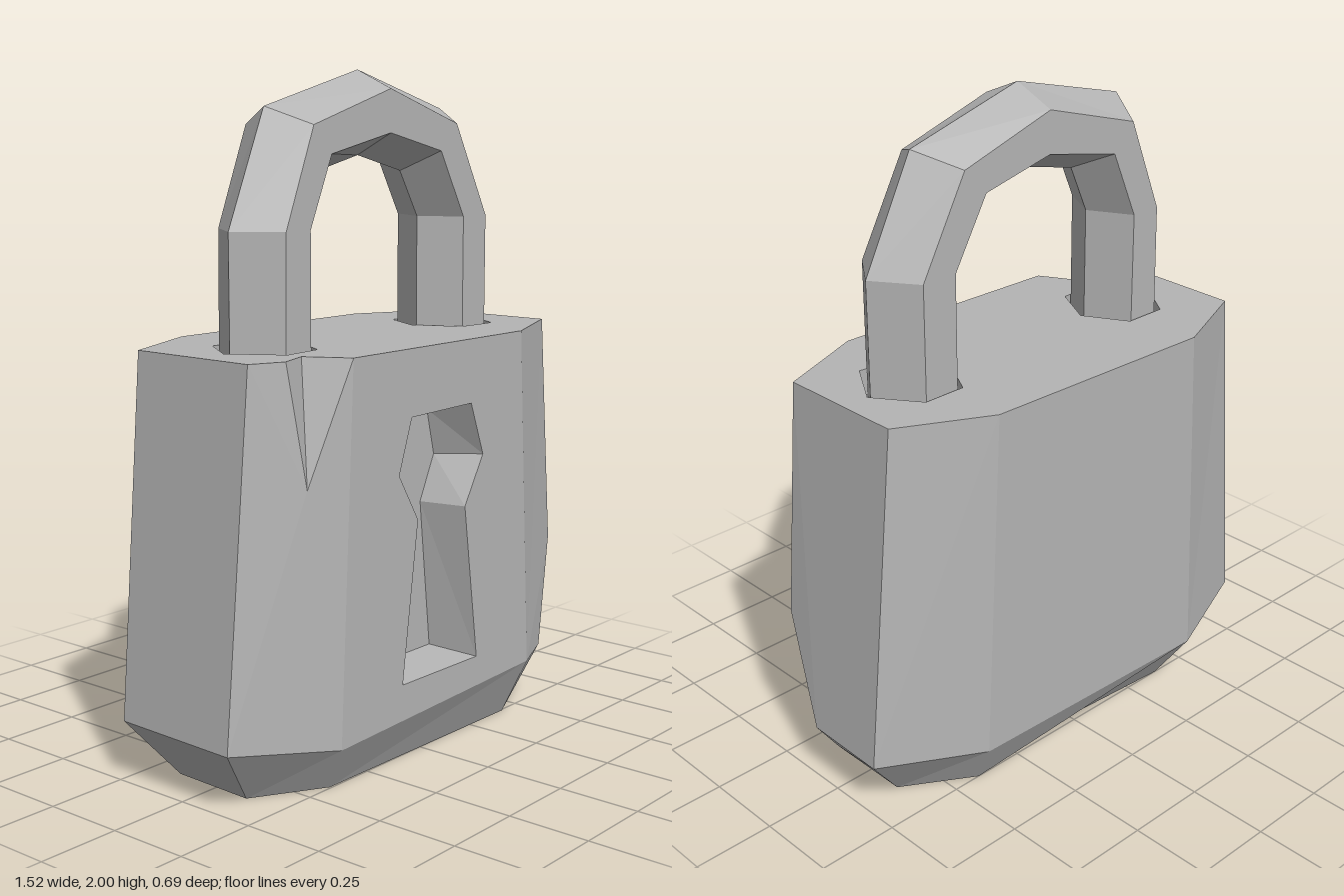
import * as THREE from 'three';

const grey = new THREE.MeshStandardMaterial({ color: 0xb4b4b4 });
grey.name = 'grey';

// Collects flat polygons (corners counter-clockwise from outside) into one mesh.
class Faces {
  constructor() { this.data = []; }
  fan(...p) {
    for (let i = 1; i < p.length - 1; i++) this.data.push(...p[0], ...p[i], ...p[i + 1]);
  }
  // Polygon with holes, triangulated in the plane given by project(point)
  panel(outline, holes, project) {
    const flat = (pts) => pts.map((p) => new THREE.Vector2(...project(p)));
    const all = [outline, ...holes].flat();
    for (const t of THREE.ShapeUtils.triangulateShape(flat(outline), holes.map(flat))) {
      this.fan(...t.map((i) => all[i]));
    }
  }
  // Band of quads between two rings
  band(a, b) {
    a.forEach((p, i) => {
      const j = (i + 1) % a.length;
      this.fan(p, a[j], b[j], b[i]);
    });
  }
  mesh(name) {
    const g = new THREE.BufferGeometry();
    g.setAttribute('position', new THREE.Float32BufferAttribute(this.data, 3));
    g.computeVertexNormals();
    const m = new THREE.Mesh(g, grey);
    m.name = name;
    return m;
  }
}

const fromFront = ([x, y]) => [x, y];
const fromTop = ([x, , z]) => [x, -z];
const fromBelow = ([x, , z]) => [x, z];

function lockBody() {
  const f = new Faces();
  const H = 1.23;
  // Rings run from the +x side round the back to the front
  const b = [[0.62, 0.16], [0.62, -0.12], [0.41, -0.25], [-0.38, -0.25],
    [-0.61, -0.15], [-0.62, 0.12], [-0.41, 0.245], [0.42, 0.255]].map(([x, z]) => [x, 0, z]);
  const m = [[0.755, 0.18, 0.08], [0.76, 0.18, -0.19], [0.44, 0.15, -0.33], [-0.42, 0.15, -0.35],
    [-0.75, 0.18, -0.23], [-0.765, 0.18, 0.19], [-0.45, 0.14, 0.324], [0.43, 0.18, 0.34], [0.6, 0.18, 0.27]];
  const t = [[0.66, 0.22], [0.66, -0.19], [0.39, -0.33], [-0.38, -0.35],
    [-0.665, -0.23], [-0.67, 0.19], [-0.4, 0.325], [0.37, 0.339]].map(([x, z]) => [x, H, z]);

  // Sides and lower chamfer
  for (let i = 1; i < 5; i++) f.fan(m[i], m[i + 1], t[i + 1], t[i]);
  for (const i of [0, 1, 3, 4, 5, 6]) f.fan(b[i], b[i + 1], m[i + 1], m[i]);
  f.fan(b[7], b[0], m[8], m[7]);

  // Cut corner at the lower front, +x side
  const cut = [0.72, 0.51, 0.22];
  f.fan(m[0], m[1], t[1], t[0], cut);
  f.fan(m[7], m[8], cut, t[0], t[7]);
  f.fan(m[8], b[0], m[0], cut);

  // Notch in the upper front, -x side
  const nA = [-0.57, H, 0.234], nB = [-0.47, H, 0.2], nD = [-0.53, 0.88, 0.272];
  f.fan(nD, nA, t[5], m[5], m[6], t[6]);
  f.fan(nA, nD, nB);
  f.fan(nB, nD, t[6]);

  // Underside with a chip in the back edge
  const chip = [0.1, 0.04, -0.26], chipIn = [0.02, 0, -0.15];
  f.fan(m[3], m[2], b[2], chip, b[3]);
  f.fan(chipIn, b[3], chip);
  f.fan(b[2], chipIn, chip);
  f.panel([...b.slice(0, 3), chipIn, ...b.slice(3)].reverse(), [], fromBelow);

  // Front with recessed keyhole
  const rim = [[-0.185, 0.26], [0.165, 0.26], [0.1, 0.735], [0.185, 0.88],
    [0.125, 1.04], [-0.15, 1.035], [-0.12 - 0.085, 0.875], [-0.12, 0.735]]
    .map(([x, y]) => [x, y, 0.332 + 0.018 * x]);
  const floor = [[-0.13, 0.28], [0.12, 0.28], [0.07, 0.735], [0.135, 0.87],
    [0.1, 1.01], [-0.115, 1.01], [-0.155, 0.87], [-0.085, 0.735]].map(([x, y]) => [x, y, 0.19]);
  f.panel([m[6], m[7], t[7], t[6]], [rim], fromFront);
  f.band(rim, floor);
  f.panel(floor, [], fromFront);

  // Top with two sockets for the shackle
  const sockets = [-1, 1].map((s) => {
    const ring = [[0.575, 0], [0.48, -0.135], [0.345, -0.135], [0.27, 0], [0.345, 0.14], [0.48, 0.15]]
      .map(([x, z]) => [x * s + (s < 0 ? 0.01 : 0), H, z]);
    return s < 0 ? ring.reverse() : ring;
  });
  f.panel([...t.slice(0, 6), nA, nB, ...t.slice(6)], sockets, fromTop);
  for (const s of sockets) {
    const low = s.map(([x, y, z]) => [x, y - 0.08, z]);
    f.band(s, low);
    f.panel(low, [], fromTop);
  }
  return f.mesh('lockBody');
}

function shackle() {
  const f = new Faces();
  const y0 = 1.12;
  // Four lines along the arch: outer ridge, outer edge, inner edge, inner ridge
  const outer = [[-0.545, y0], [-0.545, 1.56], [-0.4, 1.895], [0, 2], [0.395, 1.89], [0.56, 1.565], [0.56, y0]];
  const outEdge = [[-0.455, y0], [-0.45, 1.56], [-0.335, 1.845], [0, 1.945], [0.317, 1.845], [0.47, 1.565], [0.47, y0]];
  const inEdge = [[-0.35, y0], [-0.35, 1.56], [-0.26, 1.765], [0, 1.82], [0.24, 1.765], [0.355, 1.565], [0.355, y0]];
  const inner = [[-0.28, y0], [-0.28, 1.56], [-0.215, 1.705], [0, 1.755], [0.2, 1.705], [0.285, 1.565], [0.285, y0]];
  // Six-sided section at each station
  const rings = outer.map((_, i) => [
    [...outer[i], 0.005], [...outEdge[i], 0.13], [...inEdge[i], 0.13],
    [...inner[i], 0.005], [...inEdge[i], -0.125], [...outEdge[i], -0.125],
  ]);
  for (let i = 0; i < rings.length - 1; i++) f.band(rings[i], rings[i + 1]);
  return f.mesh('shackle');
}

export function createModel() {
  const group = new THREE.Group();
  group.name = 'padlock';
  group.add(lockBody(), shackle());
  return group;
}
